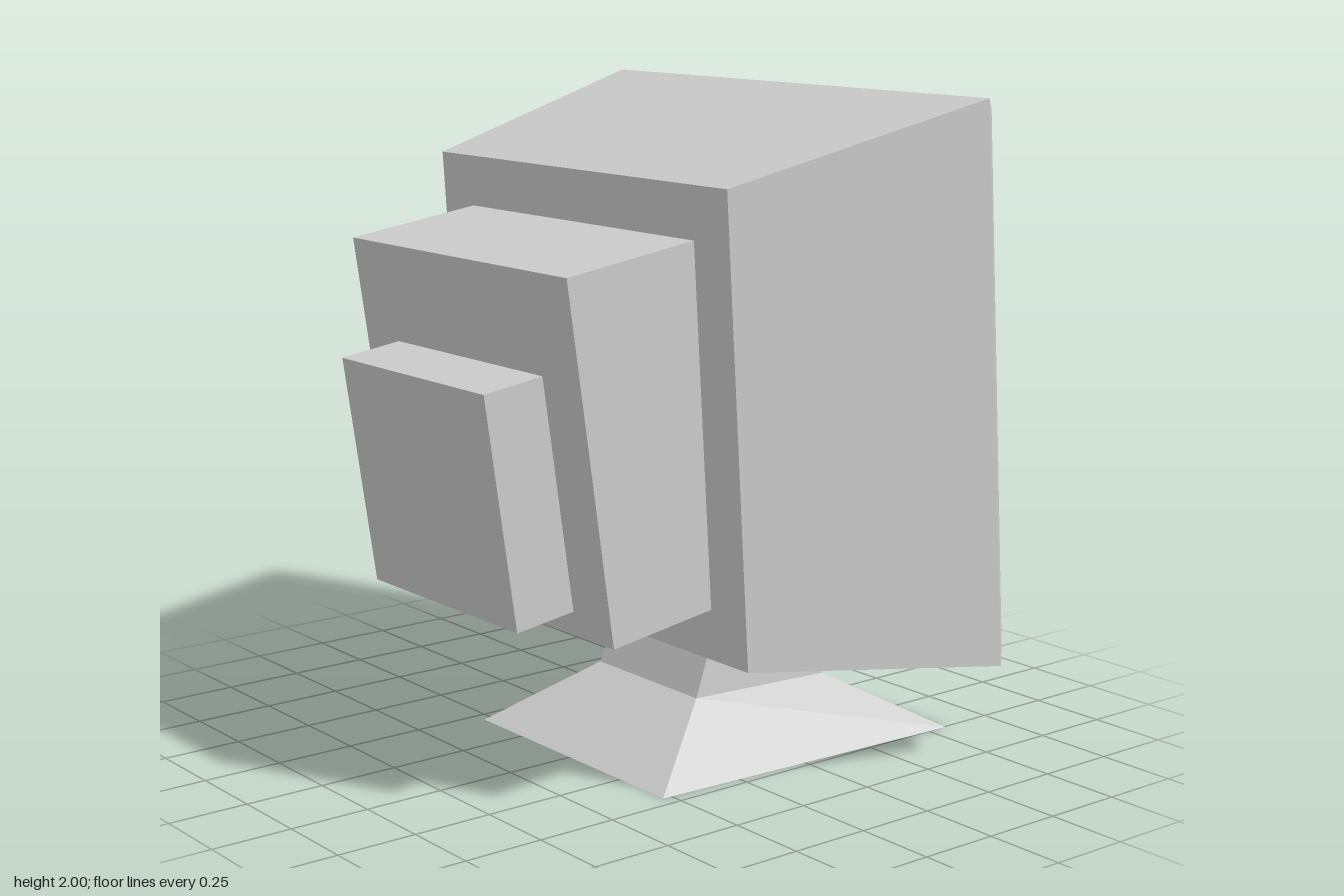
import * as THREE from 'three';

const material = new THREE.MeshStandardMaterial({ color: 0xcccccc, flatShading: true });

// Four corners of a section: edge P (x, y) and edge Q (x, y), each spread to +-z.
const section = (px, py, qx, qy, halfP, halfQ = halfP) => [
  [px, py, halfP], [px, py, -halfP], [qx, qy, -halfQ], [qx, qy, halfQ],
];

// Joins rectangular sections into a faceted solid, with optional end caps.
function loft(name, sections, capStart = true, capEnd = true) {
  const positions = [];
  const quad = (a, b, c, d) => positions.push(...a, ...b, ...c, ...a, ...c, ...d);
  for (let s = 0; s < sections.length - 1; s++) {
    const a = sections[s], b = sections[s + 1];
    for (let i = 0; i < 4; i++) {
      const j = (i + 1) % 4;
      quad(a[i], b[i], b[j], a[j]);
    }
  }
  if (capStart) quad(...sections[0]);
  if (capEnd) quad(...[...sections[sections.length - 1]].reverse());
  const geometry = new THREE.BufferGeometry();
  geometry.setAttribute('position', new THREE.Float32BufferAttribute(positions, 3));
  geometry.computeVertexNormals();
  const mesh = new THREE.Mesh(geometry, material);
  mesh.name = name;
  return mesh;
}

export function createModel() {
  const model = new THREE.Group();
  model.name = 'monitor';

  // Tapered case, bevelled rim, flat bezel and the walls of the screen recess
  const opening = section(0.644, 1.83, 0.737, 0.48, 0.68);
  const glass = section(0.544, 1.823, 0.637, 0.473, 0.68);
  model.add(loft('case', [
    section(-0.25, 1.785, -0.16, 0.413, 0.687),
    section(0.582, 2.0, 0.698, 0.308, 0.847),
    section(0.637, 1.96, 0.746, 0.355, 0.803),
    opening,
    glass,
  ], true, false));

  // Sunken screen
  model.add(loft('screen', [glass], false, true));

  // Stepped rear housings, running slightly into the part ahead
  model.add(loft('rearHousing', [
    section(-0.675, 1.565, -0.52, 0.513, 0.535),
    section(-0.2, 1.636, -0.12, 0.573, 0.535),
  ]));
  model.add(loft('rearCap', [
    section(-0.827, 1.242, -0.725, 0.557, 0.362),
    section(-0.59, 1.277, -0.49, 0.591, 0.362),
  ]));

  // Flared foot and neck, from the ground up
  const ankle = section(0.02, 0.188, 0.52, 0.175, 0.24, 0.253);
  model.add(loft('foot', [section(-0.28, 0, 0.82, 0, 0.455, 0.505), ankle], true, false));
  model.add(loft('neck', [ankle, section(0.108, 0.4, 0.432, 0.36, 0.225, 0.235)], false, true));

  return model;
}
